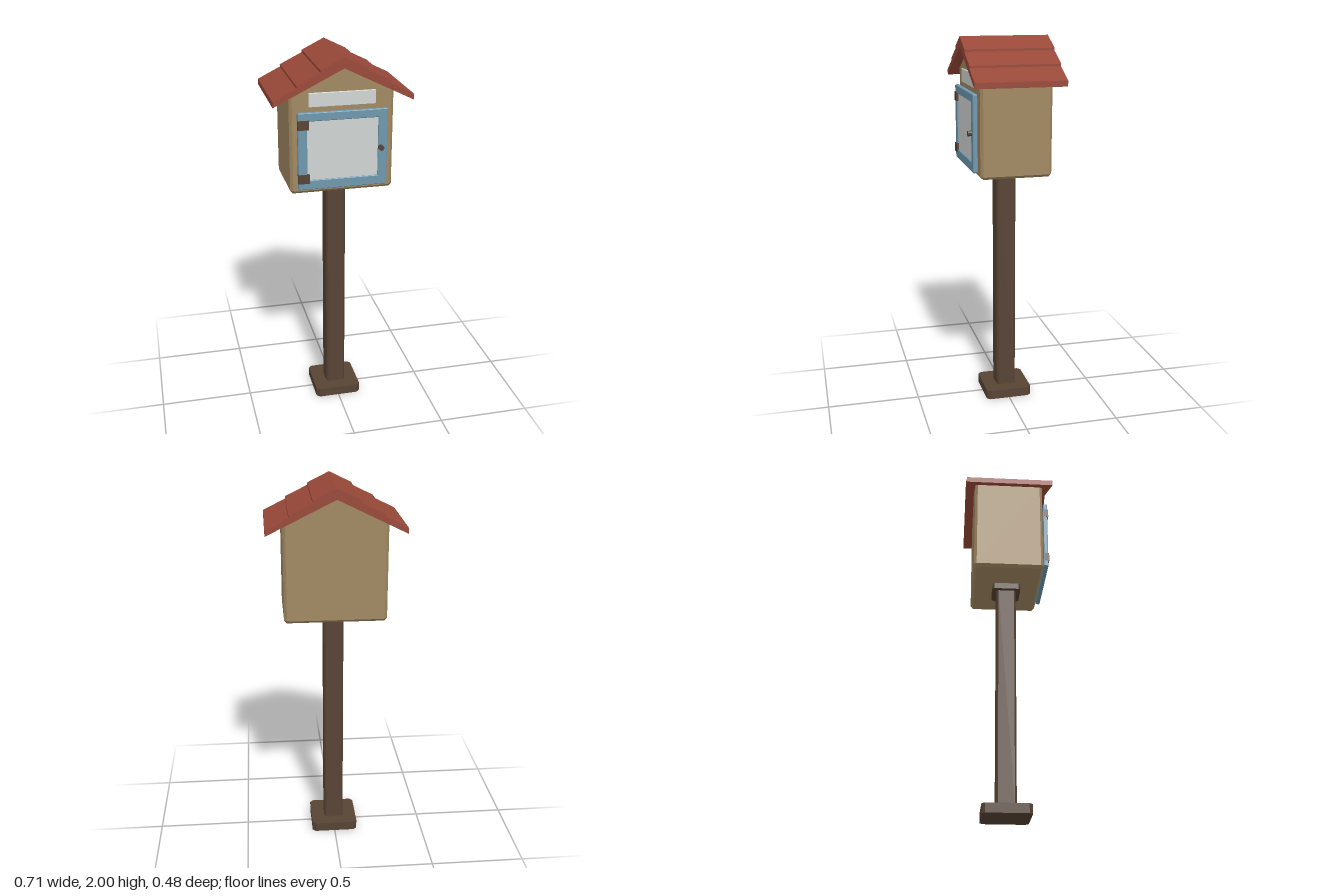
import * as THREE from 'three';

const mat = (name, color) => {
  const m = new THREE.MeshStandardMaterial({ color });
  m.name = name;
  return m;
};

// Closed outline from [x, y] points
const outline = (pts) => new THREE.Shape(pts.map(([x, y]) => new THREE.Vector2(x, y)));

// Rectangle with its corners cut by c
const cutRect = (x0, y0, x1, y1, c) => outline([
  [x0 + c, y0], [x1 - c, y0], [x1, y0 + c], [x1, y1 - c],
  [x1 - c, y1], [x0 + c, y1], [x0, y1 - c], [x0, y0 + c],
]);

// Extrusion from z0 to z1 whose outline stays exact, with chamfered ends
function slab(shape, z0, z1, bevel = 0) {
  const g = new THREE.ExtrudeGeometry(shape, {
    depth: z1 - z0 - 2 * bevel, bevelEnabled: bevel > 0, bevelSegments: 1,
    bevelSize: bevel, bevelThickness: bevel, bevelOffset: -bevel, curveSegments: 8,
  });
  return g.translate(0, 0, z0 + bevel);
}

export function createModel() {
  const group = new THREE.Group();
  const wood = mat('tan wood', 0xa18861);
  const brown = mat('dark brown', 0x574334);
  const red = mat('roof red', 0x984838);
  const blue = mat('door blue', 0x6e97ae);
  const pane = mat('pale grey', 0xd0d5d4);

  const add = (name, geometry, material) => {
    const mesh = new THREE.Mesh(geometry, material);
    mesh.name = name;
    group.add(mesh);
    return mesh;
  };

  // Square pillars with cut vertical edges: base, post and collar
  const pillar = (name, half, y0, y1, cut) =>
    add(name, slab(cutRect(-half, -half, half, half, cut), y0, y1).rotateX(-Math.PI / 2), brown);
  pillar('base', 0.127, 0, 0.05, 0.018);
  pillar('post', 0.053, 0.05, 1.27, 0.01);
  pillar('collar', 0.077, 1.265, 1.302, 0.01);

  // Gabled cabinet with chamfered edges
  const c = 0.014;
  add('cabinet', slab(outline([
    [-0.267 + c, 1.298], [0.267 - c, 1.298], [0.267, 1.298 + c], [0.267, 1.826],
    [0, 1.957], [-0.267, 1.826], [-0.267, 1.298 + c],
  ]), -0.189, 0.186, c), wood);

  // Stepped roof: three overlapping boards on each slope
  const w = 0.355, slope = 0.493, step = 0.0125, boards = 3;
  const right = [];
  for (let i = 0; i < boards; i++) {
    for (const x of [i * w / boards, (i + 1) * w / boards]) {
      right.push([x, 2 - x * slope - i * step]);
    }
  }
  const left = right.slice(1).reverse().map(([x, y]) => [-x, y]);
  add('roof', slab(outline([
    ...left, ...right, [w, 1.77], [0, 1.945], [-w, 1.77],
  ]), -0.238, 0.234), red);

  // Door frame with an opening, and the pane set into it
  const frame = cutRect(-0.231, 1.329, 0.229, 1.729, 0.004);
  frame.holes.push(new THREE.Path([
    [-0.184, 1.379], [-0.184, 1.686], [0.181, 1.686], [0.181, 1.379],
  ].map(([x, y]) => new THREE.Vector2(x, y))));
  add('doorFrame', slab(frame, 0.193, 0.217, 0.003), blue);
  add('doorPane', slab(cutRect(-0.19, 1.372, 0.187, 1.692, 0.002), 0.186, 0.21), pane);

  // Name plate in the gable
  add('plate', slab(cutRect(-0.17, 1.75, 0.172, 1.822, 0.003), 0.185, 0.194, 0.002), pane);

  // Hinges
  for (const y of [1.387, 1.668]) {
    add('hinge', new THREE.BoxGeometry(0.057, 0.048, 0.024).translate(-0.203, y, 0.21), brown);
  }

  // Knob
  const knob = new THREE.CylinderGeometry(0.014, 0.014, 0.024, 10).toNonIndexed();
  knob.computeVertexNormals();
  add('knob', knob.rotateX(Math.PI / 2).translate(0.194, 1.529, 0.226), brown);

  return group;
}
